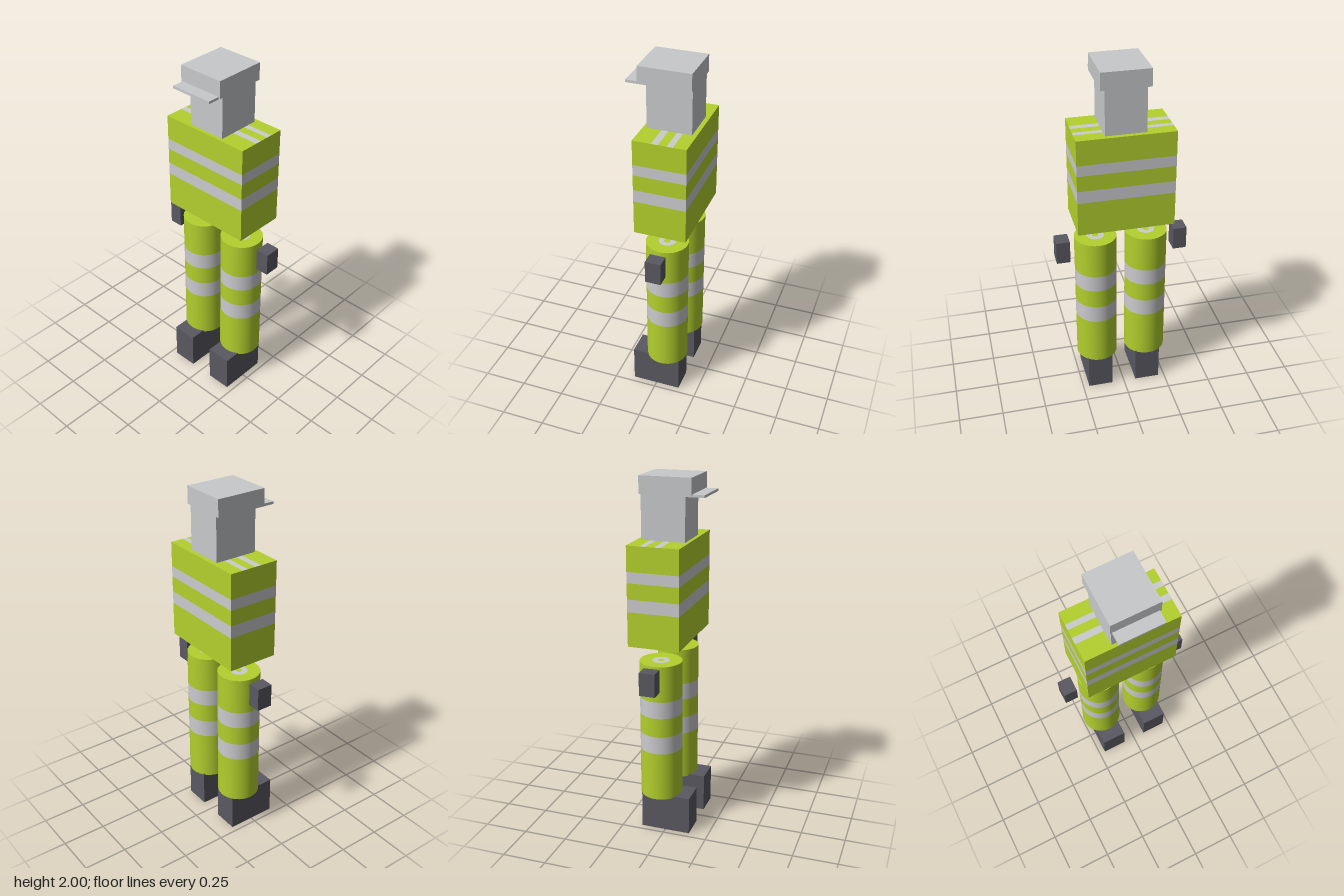
import * as THREE from 'three';

const material = (name, color) => new THREE.MeshStandardMaterial({ name, color });

export function createModel() {
  const lime = material('lime', 0xb3d02d);
  const silver = material('silver', 0xcccccf);
  const pale = material('paleGrey', 0xc8c9cb);
  const dark = material('darkGrey', 0x5a5861);

  const model = new THREE.Group();
  model.name = 'blockWorker';

  const add = (parent, name, geometry, mat) => {
    const mesh = new THREE.Mesh(geometry, mat);
    mesh.name = name;
    parent.add(mesh);
    return mesh;
  };

  // Box given by its limits on each axis
  const box = (name, mat, [x0, x1], [y0, y1], [z0, z1]) =>
    add(model, name, new THREE.BoxGeometry(x1 - x0, y1 - y0, z1 - z0), mat)
      .position.set((x0 + x1) / 2, (y0 + y1) / 2, (z0 + z1) / 2);

  // Head, cap and peak
  box('head', pale, [-0.11, 0.11], [1.66, 1.905], [-0.165, 0.08]);
  box('cap', pale, [-0.132, 0.132], [1.905, 2], [-0.168, 0.12]);
  box('capPeak', pale, [-0.122, 0.122], [1.9, 1.914], [0.08, 0.187]);

  // Torso: six faces, each cut into lime and reflective bands
  const torso = new THREE.Group();
  torso.name = 'torso';
  torso.position.set(0, 1.385, -0.045);
  model.add(torso);
  const W = 0.53, H = 0.55, D = 0.29;
  const torsoCuts = [0, 0.35, 0.477, 0.637, 0.747, 1];
  const bandedFace = (name, w, h, distance, rx, ry) => {
    const face = new THREE.Group();
    face.name = name;
    face.rotation.set(rx, ry, 0);
    for (let i = 0; i < 5; i++) {
      const a = torsoCuts[i], b = torsoCuts[i + 1];
      add(face, i % 2 ? 'reflectiveBand' : 'limeBand',
        new THREE.PlaneGeometry(w, (b - a) * h), i % 2 ? silver : lime)
        .position.set(0, ((a + b) / 2 - 0.5) * h, distance);
    }
    torso.add(face);
  };
  const q = Math.PI / 2;
  bandedFace('torsoFront', W, H, D / 2, 0, 0);
  bandedFace('torsoBack', W, H, D / 2, 0, Math.PI);
  bandedFace('torsoLeft', D, H, W / 2, 0, q);
  bandedFace('torsoRight', D, H, W / 2, 0, -q);
  bandedFace('torsoTop', W, D, H / 2, -q, 0);
  bandedFace('torsoBottom', W, D, H / 2, q, 0);

  // Legs, shoes and hands, mirrored left and right
  const legCuts = [0.212, 0.495, 0.597, 0.708, 0.805, 1.01];
  const capRadii = [0, 0.018, 0.048, 0.118];
  for (const [side, s] of [['left', 1], ['right', -1]]) {
    const leg = new THREE.Group();
    leg.name = side + 'Leg';
    leg.position.set(s * 0.144, 0, -0.045);
    model.add(leg);

    for (let i = 0; i < 5; i++) {
      const a = legCuts[i], b = legCuts[i + 1];
      add(leg, i % 2 ? 'reflectiveBand' : 'trouserBand',
        new THREE.CylinderGeometry(0.118, 0.118, b - a, 32, 1, true), i % 2 ? silver : lime)
        .position.y = (a + b) / 2;
    }

    // Ringed end discs
    for (const [y, turn] of [[1.01, -q], [0.212, q]]) {
      for (let i = 0; i < 3; i++) {
        const ring = add(leg, 'legEnd',
          new THREE.RingGeometry(capRadii[i], capRadii[i + 1], 32), i === 1 ? silver : lime);
        ring.position.y = y;
        ring.rotation.x = turn;
      }
    }

    const span = (a, b) => (s > 0 ? [a, b] : [-b, -a]);
    box(side + 'Shoe', dark, span(0.071, 0.215), [0, 0.22], [-0.14, 0.142]);
    box(side + 'Hand', dark, span(0.294, 0.37), [0.88, 1.01], [-0.089, 0]);
  }

  return model;
}
